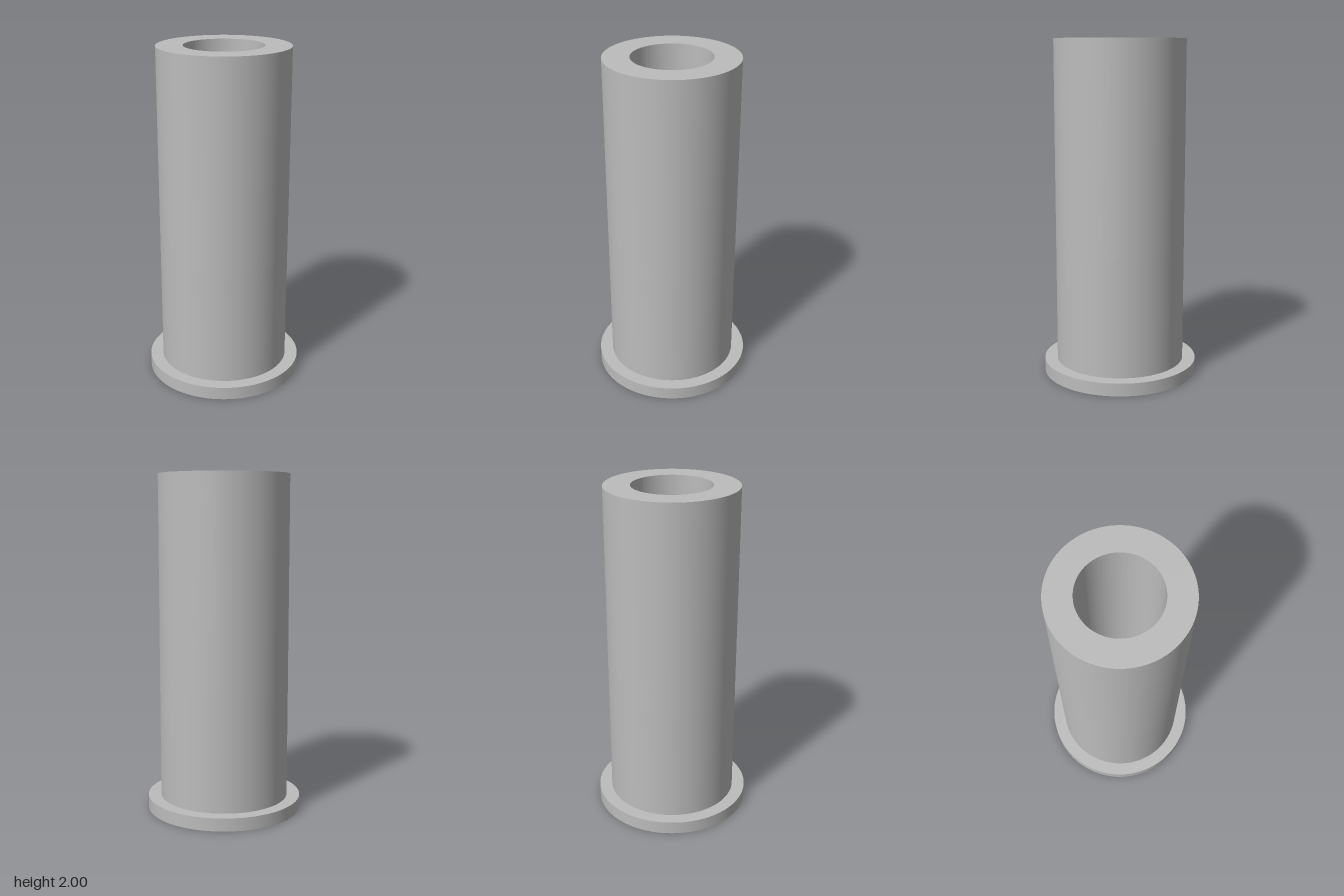
import * as THREE from 'three';
import { toCreasedNormals } from 'three/addons/utils/BufferGeometryUtils.js';

const FLANGE_R = 0.4615, BODY_R = 0.3845, BORE_R = 0.231, SHAFT_R = 0.122;
const FLANGE_TOP = 0.077, FLOOR_Y = 0.77, TOP = 2;
const SLOT_HALF = 0.038, FLAT = 0.103;

// Round bore
function roundHole() {
  return new THREE.Path().absarc(0, 0, BORE_R, 0, Math.PI * 2, false);
}

// D-shaped shaft hole with a key slot towards +z (shape y is -z)
function keyedHole() {
  const tip = Math.asin(SLOT_HALF / BORE_R);
  const mouth = Math.asin(SLOT_HALF / SHAFT_R);
  const flat = Math.asin(FLAT / SHAFT_R);
  const down = -Math.PI / 2;
  const path = new THREE.Path();
  path.absarc(0, 0, BORE_R, down - tip, down + tip, false);
  path.absarc(0, 0, SHAFT_R, down + mouth, flat, false);
  path.absarc(0, 0, SHAFT_R, Math.PI - flat, Math.PI * 1.5 - mouth, false);
  path.closePath();
  return path;
}

// Disc with a hole, standing between two heights
function ring(name, radius, hole, y0, y1, material) {
  const shape = new THREE.Shape().absarc(0, 0, radius, 0, Math.PI * 2, false);
  shape.holes.push(hole);
  const extruded = new THREE.ExtrudeGeometry(shape, {
    depth: y1 - y0, bevelEnabled: false, curveSegments: 96,
  });
  extruded.rotateX(-Math.PI / 2);
  extruded.translate(0, y0, 0);
  const mesh = new THREE.Mesh(toCreasedNormals(extruded, 0.4), material);
  mesh.name = name;
  return mesh;
}

export function createModel() {
  const group = new THREE.Group();
  group.name = 'flangedBushing';
  const grey = new THREE.MeshStandardMaterial({ color: 0xbcbcbc });
  grey.name = 'grey';

  group.add(
    ring('flange', FLANGE_R, keyedHole(), 0, FLANGE_TOP, grey),
    ring('keyedHub', BODY_R, keyedHole(), FLANGE_TOP, FLOOR_Y, grey),
    ring('sleeve', BODY_R, roundHole(), FLOOR_Y, TOP, grey),
  );
  return group;
}
